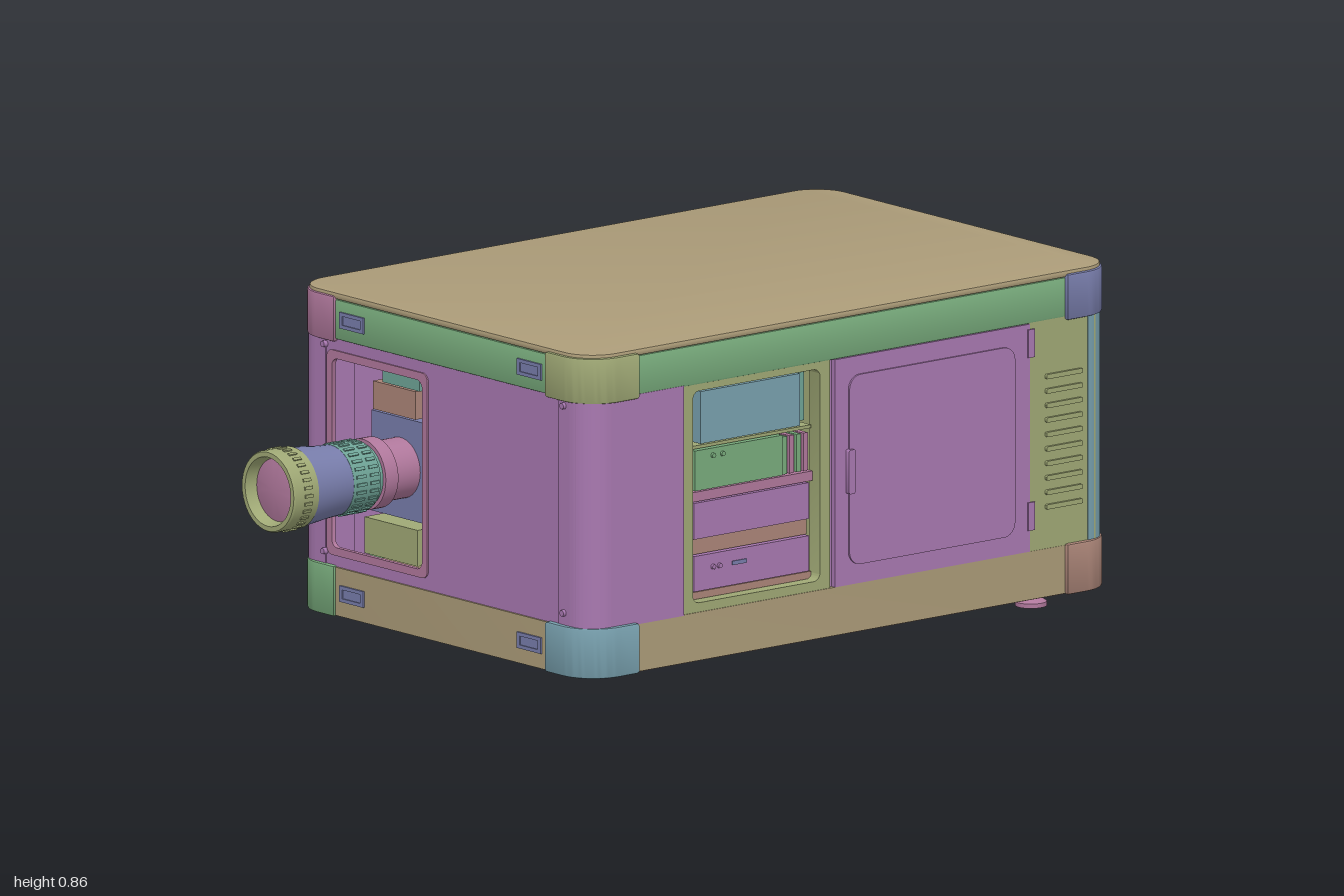
import * as THREE from 'three';
import { toCreasedNormals } from 'three/addons/utils/BufferGeometryUtils.js';

const PI = Math.PI;
const mat = {};
const palette = {
  tan: 0xab9b78, green: 0x78ab7c, purple: 0xa878b0, teal: 0x6fa497, blue: 0x78a0ae,
  slate: 0x787dab, olive: 0x9fa875, salmon: 0xab8578, pink: 0xb0789c, rose: 0xab7878,
};
for (const [name, color] of Object.entries(palette)) {
  mat[name] = new THREE.MeshStandardMaterial({ color });
  mat[name].name = name;
}

// Rounded rectangle; radii run from (x0,y0) counter-clockwise.
function trace(p, x0, x1, y0, y1, r) {
  const [a, b, c, d] = Array.isArray(r) ? r : [r, r, r, r];
  p.moveTo(x0 + a, y0);
  p.lineTo(x1 - b, y0);
  if (b) p.absarc(x1 - b, y0 + b, b, -PI / 2, 0);
  p.lineTo(x1, y1 - c);
  if (c) p.absarc(x1 - c, y1 - c, c, 0, PI / 2);
  p.lineTo(x0 + d, y1);
  if (d) p.absarc(x0 + d, y1 - d, d, PI / 2, PI);
  p.lineTo(x0, y0 + a);
  if (a) p.absarc(x0 + a, y0 + a, a, PI, PI * 1.5);
  return p;
}

export function createModel() {
  const model = new THREE.Group();
  model.name = 'equipmentCase';

  function add(name, color, geo) {
    const mesh = new THREE.Mesh(geo, mat[color]);
    mesh.name = name;
    model.add(mesh);
    return mesh;
  }

  // Horizontal slab with rounded plan corners (radii: front-left, front-right, back-right, back-left).
  function slab(name, color, x0, x1, z0, z1, y0, y1, r, bevel = 0) {
    const geo = new THREE.ExtrudeGeometry(trace(new THREE.Shape(), x0, x1, -z1, -z0, r), {
      depth: y1 - y0 - 2 * bevel, curveSegments: 10, bevelEnabled: bevel > 0,
      bevelThickness: bevel, bevelSize: bevel, bevelOffset: -bevel, bevelSegments: 2,
    });
    geo.translate(0, 0, y0 + bevel).rotateX(-PI / 2);
    return add(name, color, toCreasedNormals(geo, 0.6));
  }

  // Upright plate on one side of the case; u is world x or z, d the outer face's distance from the centre.
  const sides = { front: [0, 1], back: [PI, -1], right: [PI / 2, -1], left: [-PI / 2, 1] };
  function plate(name, color, side, u0, u1, y0, y1, d, t, r = 0, hole = null) {
    const [turn, s] = sides[side];
    const span = (a, b) => [Math.min(a * s, b * s), Math.max(a * s, b * s)];
    const shape = trace(new THREE.Shape(), ...span(u0, u1), y0, y1, r);
    if (hole) shape.holes.push(trace(new THREE.Path(), ...span(hole[0], hole[1]), hole[2], hole[3], hole[4] || 0));
    const geo = new THREE.ExtrudeGeometry(shape, { depth: t, bevelEnabled: false, curveSegments: 8 });
    geo.translate(0, 0, d - t).rotateY(turn);
    return add(name, color, toCreasedNormals(geo, 0.6));
  }

  function bolt(color, side, u, y, d, r = 0.009, n = 12) {
    const [turn, s] = sides[side];
    const geo = new THREE.CylinderGeometry(r * 0.85, r, 0.012, n).rotateX(PI / 2);
    add('bolt', color, geo.translate(u * s, y, d).rotateY(turn));
  }

  function box(name, color, x0, x1, y0, y1, z0, z1) {
    const geo = new THREE.BoxGeometry(x1 - x0, y1 - y0, z1 - z0);
    return add(name, color, geo.translate((x0 + x1) / 2, (y0 + y1) / 2, (z0 + z1) / 2));
  }

  // Base, top rail and lid
  slab('underside', 'rose', -0.67, 0.97, -0.54, 0.54, 0.048, 0.06, 0.08);
  slab('bottomRail', 'tan', -0.685, 0.983, -0.552, 0.552, 0.052, 0.172, 0.09);
  slab('topRail', 'green', -0.685, 0.983, -0.552, 0.552, 0.738, 0.838, 0.09, 0.005);
  slab('lid', 'tan', -0.686, 0.984, -0.554, 0.554, 0.838, 0.855, 0.09, 0.005);

  // Corner caps: x side, z side, top colour, bottom colour
  const caps = [[-1, 1, 'olive', 'blue'], [1, 1, 'slate', 'salmon'], [1, -1, 'teal', 'purple'], [-1, -1, 'pink', 'green']];
  caps.forEach(([sx, sz, top, bottom], i) => {
    const [x0, x1] = sx < 0 ? [-0.692, -0.53] : [0.828, 0.99];
    const [z0, z1] = sz < 0 ? [-0.562, -0.4] : [0.4, 0.562];
    const r = [0, 0, 0, 0];
    r[i] = 0.1;
    slab('topCorner', top, x0, x1, z0, z1, 0.732, 0.846, r, 0.006);
    slab('bottomCorner', bottom, x0, x1, z0, z1, 0.049, 0.175, r, 0.006);
    // Upright post behind the caps
    const [px0, px1] = sx < 0 ? [-0.683, -0.59] : [0.9, 0.978];
    const [pz0, pz1] = sz < 0 ? [-0.553, -0.44] : [0.44, 0.553];
    r[i] = 0.075;
    slab('cornerPost', sx < 0 ? 'purple' : 'blue', px0, px1, pz0, pz1, 0.165, 0.745, r);
  });
  bolt('purple', 'right', 0.47, 0.112, 0.994, 0.02, 6);

  // Latches on both ends
  for (const [side, d] of [['right', 0.988], ['left', 0.69]]) {
    for (const z of [-0.335, 0.335]) for (const y of [0.11, 0.79]) {
      plate('latchFrame', 'slate', side, z - 0.045, z + 0.045, y - 0.02, y + 0.02, d, 0.012, 0,
        [z - 0.034, z + 0.034, y - 0.011, y + 0.011]);
      plate('latchPlate', 'slate', side, z - 0.034, z + 0.034, y - 0.011, y + 0.011, d - 0.003, 0.01);
    }
  }

  // Right end: frame and two sunken panels
  plate('endTopBar', 'blue', 'right', -0.45, 0.45, 0.703, 0.742, 0.973, 0.03);
  plate('endBottomBar', 'blue', 'right', -0.45, 0.45, 0.168, 0.206, 0.973, 0.03);
  plate('endMiddlePost', 'blue', 'right', -0.018, 0.018, 0.17, 0.74, 0.976, 0.03);
  for (const [s, color] of [[1, 'olive'], [-1, 'purple']]) {
    plate('endPanel', color, 'right', s * 0.01, s * 0.445, 0.2, 0.71, 0.955, 0.02);
    plate('endPanelStrip', color, 'right', s * 0.022, s * 0.038, 0.206, 0.703, 0.964, 0.01);
    plate('endPanelLip', color, 'right', s * 0.432, s * 0.44, 0.206, 0.703, 0.964, 0.01);
    plate('endPanelCatch', 'slate', 'right', s * 0.21, s * 0.26, 0.697, 0.704, 0.977, 0.02);
    for (const y of [0.205, 0.705]) bolt(s > 0 ? 'salmon' : 'olive', 'right', s * 0.463, y, 0.979);
  }

  // Front: plain wall, open equipment bay, door, vent panel
  plate('frontWall', 'purple', 'front', -0.61, -0.38, 0.17, 0.742, 0.553, 0.02);
  plate('bayFrame', 'olive', 'front', -0.382, 0.085, 0.17, 0.74, 0.55, 0.04, 0, [-0.35, 0.053, 0.195, 0.722, 0.02]);
  plate('doorPost', 'purple', 'front', 0.083, 0.1, 0.17, 0.74, 0.54, 0.02);
  plate('door', 'purple', 'front', 0.098, 0.715, 0.172, 0.738, 0.553, 0.025);
  plate('doorRaisedPanel', 'purple', 'front', 0.14, 0.665, 0.22, 0.692, 0.558, 0.006, 0.035);
  plate('doorHandle', 'purple', 'front', 0.132, 0.152, 0.4, 0.51, 0.566, 0.014, 0.005);
  for (const y of [0.225, 0.655]) plate('doorHinge', 'purple', 'front', 0.708, 0.728, y, y + 0.07, 0.557, 0.02);
  plate('ventPanel', 'olive', 'front', 0.715, 0.925, 0.17, 0.742, 0.551, 0.02);
  for (let i = 0; i < 10; i++) {
    const y = 0.27 + i * 0.036;
    plate('ventLouvre', 'olive', 'front', 0.765, 0.88, y, y + 0.012, 0.558, 0.01, 0.004);
  }

  // Equipment in the front bay
  plate('bayBack', 'purple', 'front', -0.385, 0.09, 0.17, 0.74, 0.2, 0.01);
  box('baySide', 'olive', -0.39, -0.375, 0.17, 0.74, 0.2, 0.53);
  box('baySide', 'olive', 0.075, 0.09, 0.17, 0.74, 0.2, 0.53);
  box('displayUnit', 'blue', -0.305, 0.01, 0.582, 0.712, 0.22, 0.525);
  box('displaySide', 'teal', 0.01, 0.035, 0.59, 0.71, 0.25, 0.51);
  box('shelf', 'olive', -0.345, 0.05, 0.57, 0.578, 0.22, 0.52);
  box('circuitUnit', 'green', -0.327, -0.05, 0.468, 0.568, 0.22, 0.53);
  for (let i = 0; i < 4; i++) {
    box('circuitCard', i % 2 ? 'pink' : 'green', -0.045 + i * 0.022, -0.031 + i * 0.022, 0.468, 0.562, 0.25, 0.525);
  }
  box('shelf', 'pink', -0.345, 0.05, 0.44, 0.464, 0.22, 0.525);
  box('upperDrawer', 'purple', -0.33, 0.035, 0.348, 0.438, 0.22, 0.53);
  box('drawerSpacer', 'salmon', -0.33, 0.035, 0.308, 0.346, 0.22, 0.52);
  box('lowerDrawer', 'purple', -0.33, 0.035, 0.218, 0.306, 0.22, 0.53);
  box('bayFloor', 'salmon', -0.345, 0.05, 0.196, 0.214, 0.22, 0.52);
  plate('drawerSlot', 'slate', 'front', -0.21, -0.165, 0.268, 0.278, 0.533, 0.005);
  for (const [x, y, c] of [[-0.27, 0.273, 'purple'], [-0.25, 0.273, 'purple'], [-0.27, 0.55, 'green'], [-0.24, 0.55, 'green']]) {
    bolt(c, 'front', x, y, 0.53, 0.007);
  }

  // Back: full panel, hatch and louvres
  plate('backPanel', 'teal', 'back', -0.6, 0.91, 0.17, 0.742, 0.55, 0.02);
  plate('backHatch', 'teal', 'back', 0.03, 0.77, 0.25, 0.66, 0.554, 0.006, 0.03);
  plate('backHandle', 'teal', 'back', 0.885, 0.9, 0.32, 0.68, 0.558, 0.01);
  for (let i = 0; i < 12; i++) {
    const y = 0.25 + i * 0.034;
    plate('backLouvre', 'teal', 'back', -0.56, -0.31, y, y + 0.014, 0.558, 0.01, 0.006);
  }
  for (const x of [-0.58, 0.15, 0.87]) for (const y of [0.205, 0.715]) bolt('teal', 'back', x, y, 0.553);

  // Left end: wall with the lens opening and its recess
  plate('leftWall', 'purple', 'left', -0.46, 0.5, 0.17, 0.742, 0.68, 0.02, 0, [-0.43, -0.06, 0.205, 0.705, 0.02]);
  plate('openingRim', 'pink', 'left', -0.435, -0.055, 0.2, 0.71, 0.684, 0.012, 0.02, [-0.415, -0.075, 0.22, 0.69, 0.02]);
  plate('recessBack', 'purple', 'left', -0.46, -0.03, 0.17, 0.74, 0.42, 0.01);
  box('recessSide', 'purple', -0.67, -0.42, 0.17, 0.74, -0.05, -0.035);
  box('recessSide', 'purple', -0.67, -0.42, 0.17, 0.74, -0.46, -0.445);
  box('cameraBody', 'slate', -0.58, -0.43, 0.3, 0.55, -0.39, -0.16);
  box('cameraBracket', 'salmon', -0.6, -0.43, 0.56, 0.63, -0.36, -0.2);
  box('cameraCable', 'teal', -0.62, -0.43, 0.64, 0.68, -0.3, -0.16);
  box('cameraBase', 'olive', -0.61, -0.43, 0.2, 0.29, -0.38, -0.18);
  for (const z of [-0.443, 0.46]) for (const y of [0.205, 0.72]) bolt('purple', 'left', z, y, 0.685);

  // Lens: lathe sections as [distance out along -x, radius]
  const lens = new THREE.Group();
  lens.name = 'lens';
  lens.position.set(0, 0.425, -0.28);
  lens.rotation.z = PI / 2;
  model.add(lens);
  function turned(name, color, pts) {
    const geo = new THREE.LatheGeometry(pts.map(([h, r]) => new THREE.Vector2(r, h)), 40);
    const mesh = new THREE.Mesh(toCreasedNormals(geo, 0.5), mat[color]);
    mesh.name = name;
    lens.add(mesh);
  }
  turned('lensMount', 'pink', [[0.56, 0.075], [0.66, 0.075], [0.66, 0.088], [0.7, 0.088], [0.7, 0.06]]);
  turned('focusRing', 'teal', [[0.69, 0.078], [0.71, 0.078], [0.715, 0.088], [0.8, 0.088], [0.8, 0.07]]);
  turned('lensBarrel', 'slate', [[0.79, 0.08], [0.795, 0.087], [0.84, 0.09], [0.925, 0.1], [0.925, 0.08]]);
  turned('lensHood', 'olive', [[0.92, 0.09], [0.922, 0.101], [0.995, 0.101], [1, 0.098], [1, 0.086], [0.97, 0.078]]);
  turned('lensGlass', 'pink', [[0.968, 0.084], [0.974, 0.06], [0.982, 0]]);
  // Grip ribs around the rings
  function ribs(name, color, h, len, r, count) {
    for (let i = 0; i < count; i++) {
      const a = (i / count) * 2 * PI;
      const rib = new THREE.Mesh(new THREE.BoxGeometry(0.006, len, 0.008), mat[color]);
      rib.position.set(r * Math.cos(a), h, r * Math.sin(a));
      rib.rotation.y = -a;
      rib.name = name;
      lens.add(rib);
    }
  }
  ribs('focusRib', 'teal', 0.735, 0.026, 0.088, 28);
  ribs('focusRib', 'teal', 0.776, 0.03, 0.088, 28);
  ribs('hoodRib', 'olive', 0.955, 0.024, 0.101, 32);

  // Three levelling feet
  for (const [x, z, color] of [[0.83, 0.42, 'pink'], [0.83, -0.42, 'teal'], [-0.48, 0, 'olive']]) {
    const pts = [[0, 0], [0.039, 0], [0.039, 0.011], [0.03, 0.017], [0.013, 0.02], [0.013, 0.06]];
    const geo = new THREE.LatheGeometry(pts.map(([r, y]) => new THREE.Vector2(r, y)), 24);
    add('foot', color, toCreasedNormals(geo, 0.5).translate(x, 0, z));
  }
  // Fixings under the base
  for (const [x, z] of [[0.55, -0.2], [0.55, 0.1], [0.1, -0.2], [0.1, 0.1]]) {
    add('baseFixing', 'rose', new THREE.CylinderGeometry(0.01, 0.01, 0.01, 12).translate(x, 0.047, z));
  }
  return model;
}
